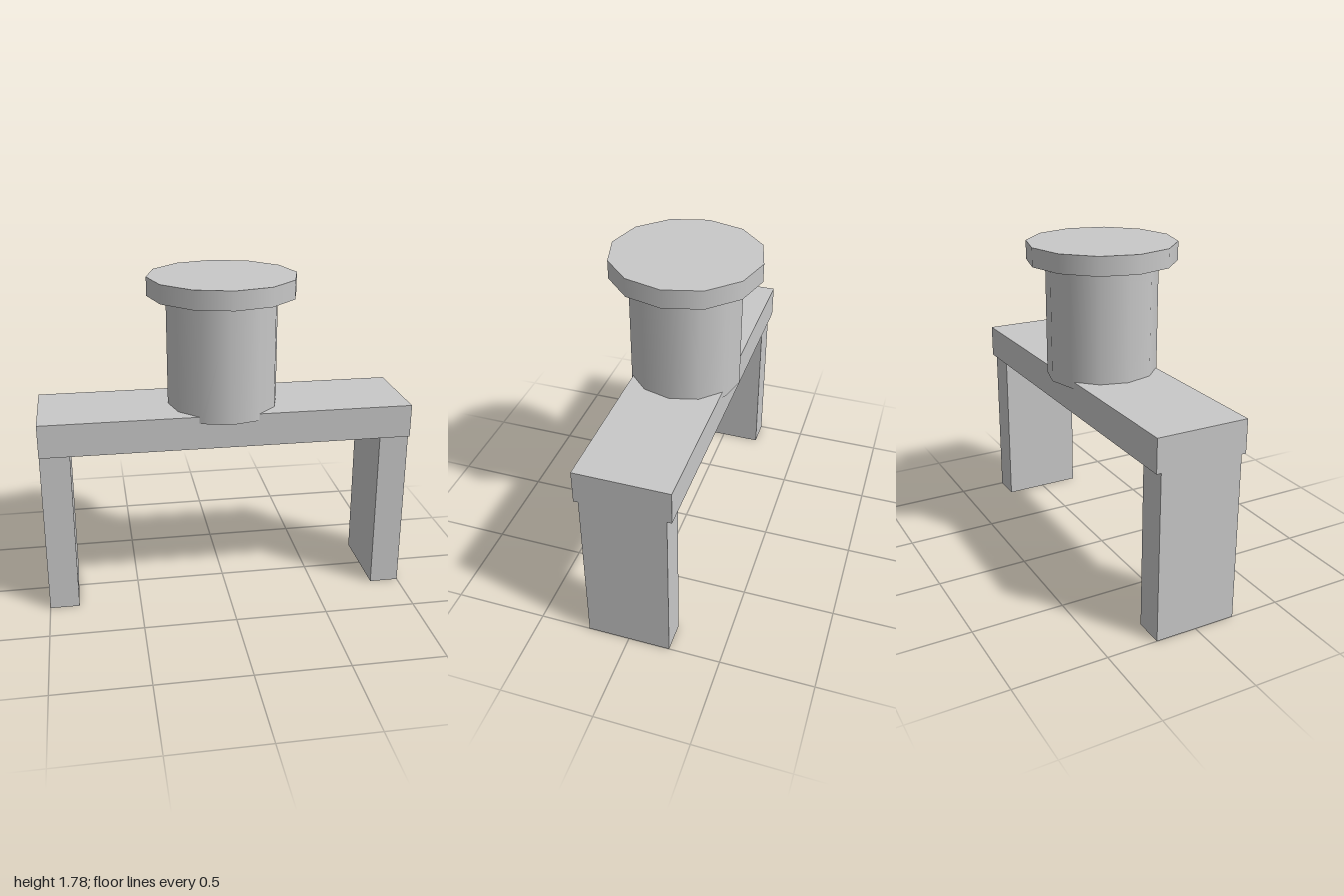
import * as THREE from 'three';

export function createModel() {
  const model = new THREE.Group();
  const grey = new THREE.MeshStandardMaterial({ color: 0xc8c8c8 });
  grey.name = 'plain grey';

  // Adds a part spanning the heights y0 to y1
  const add = (name, geometry, x, y0, y1) => {
    const mesh = new THREE.Mesh(geometry, grey);
    mesh.name = name;
    mesh.position.set(x, (y0 + y1) / 2, 0);
    model.add(mesh);
  };
  const box = (name, w, d, x, y0, y1) =>
    add(name, new THREE.BoxGeometry(w, y1 - y0, d), x, y0, y1);
  // Twelve-sided drum with smooth sides
  const drum = (name, r, y0, y1) =>
    add(name, new THREE.CylinderGeometry(r, r, y1 - y0, 12), 0, y0, y1);

  // Bench: two slab legs under a slightly deeper beam
  box('leftLeg', 0.16, 0.45, 0.92, 0, 0.91);
  box('rightLeg', 0.16, 0.45, -0.92, 0, 0.91);
  box('beam', 2, 0.5, 0, 0.91, 1.09);

  // Barrel sunk a little into the beam, with a wider lid
  drum('barrel', 0.3, 1.055, 1.685);
  drum('lid', 0.4, 1.685, 1.785);

  return model;
}
